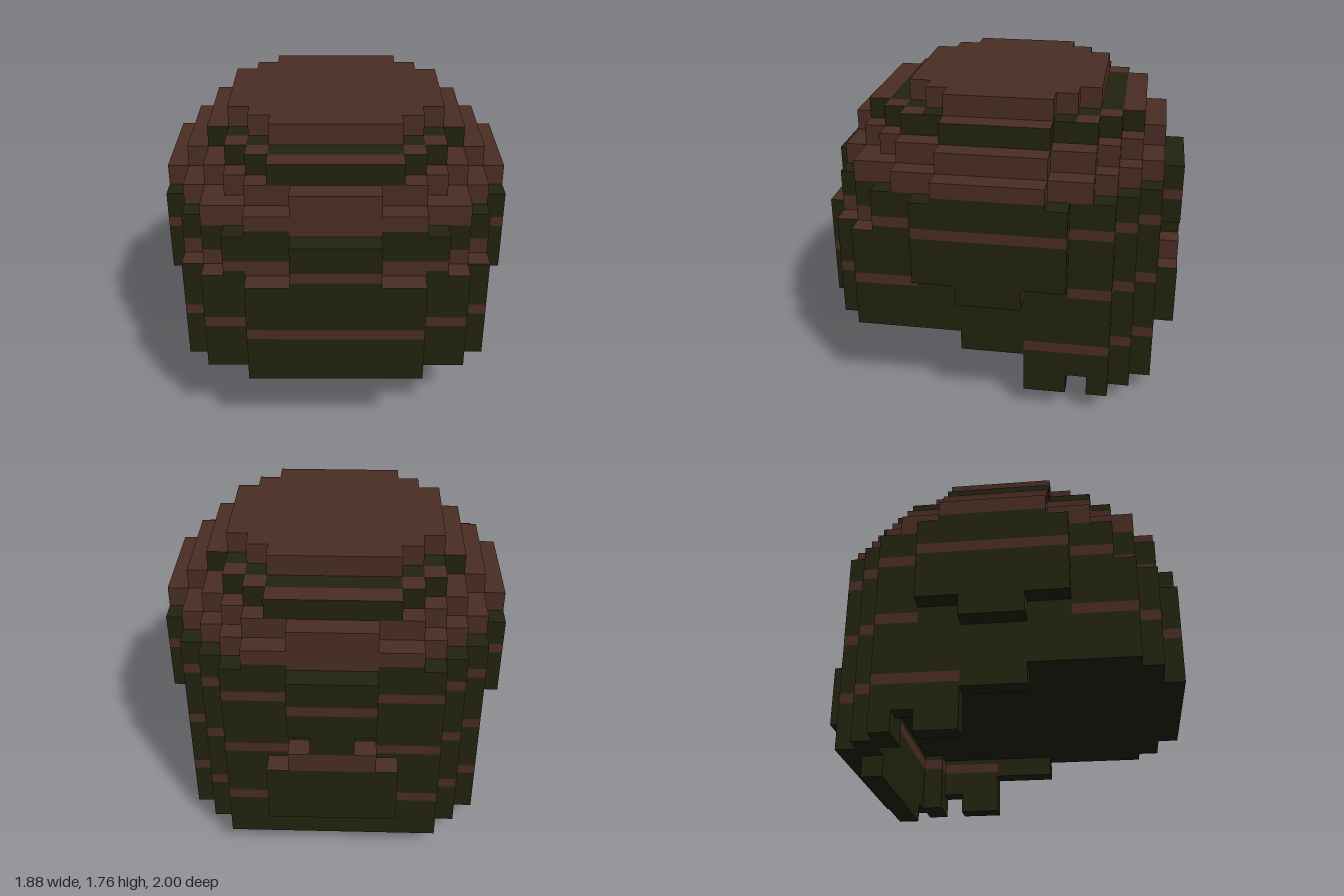
import * as THREE from 'three';

const U = 2 / 17; // edge of one block
const OLIVE = 0, BROWN = 1;

// Half-widths in blocks, listed from the middle row (z = 0) outwards
const crownRows = {
  14: [5, 5, 5, 4, 3],
  13: [6, 6, 6, 5, 5, 4, 3],
  12: [7, 7, 7, 6, 6, 5, 4, 2],
  11: [8, 8, 8, 7, 7, 6, 6, 4],
};
const upperRows = [8, 8, 8, 8, 7, 7, 6, 5, 2];
const frontRows = [7, 7, 7, 7, 7, 7, 7, 6, 4];
const backRows = [7, 7, 7, 7, 7, 7, 6, 5];
const backPatch = { 3: 3, 4: 3, 5: 3, 6: 2, 7: 1, 8: 2 };

function halfWidth(y, z) {
  const r = Math.abs(z);
  if (y > 10) {
    if (y === 11 && z === -6) return 5;
    return crownRows[y]?.[r] ?? 0;
  }
  if (y > 8) return upperRows[r] ?? 0;
  if (z === -8) return backPatch[y] ?? 0;
  if ((y >= 7 && r <= 3) || (y === 6 && r <= 1)) return 8;
  return (z > 0 ? frontRows[r] : backRows[r]) ?? 0;
}

// a is the distance from the centre line in whole blocks
function filled(i, y, z) {
  const a = i >= 0 ? i : -i - 1;
  if (y < 0 || y > 14 || Math.abs(z) > 8) return false;
  if (y === 0) return z === -6 && a < 4;
  if (y < 4) {
    if (z > 1 || (y < 3 && z > -2) || (y === 1 && z === -4)) return false;
    if (z === -8 && y < 3) return false;
    const inner = z <= -6 ? 0 : z === -5 ? 5 : 6; // open underneath
    return a >= inner && a < halfWidth(y, z);
  }
  return a < halfWidth(y, z);
}

// Colour of upward faces
function topColour(a, y, z) {
  const r = Math.abs(z);
  if (y === 13) return (r === 5 && a < 3) || (r === 4 && a === 3) || (r === 3 && a === 4) ? OLIVE : BROWN;
  if (y > 10 || y === 8) return BROWN;
  return z === -8 && (y === 5 || y === 6) ? BROWN : OLIVE;
}

// Horizontal colour bands [from, to, colour] of a side face
function sideBands(a, y, z, dx, ledge) {
  const r = Math.abs(z);
  const stripe = [[0, 0.25, OLIVE], [0.25, 0.75, BROWN], [0.75, 1, OLIVE]];
  if (y === 14 || y === 12) return [[0, 1, BROWN]];
  if (y === 11) {
    const lip = dx ? a === 7 : r === 7 && a >= 2;
    return lip ? [[0, 0.27, OLIVE], [0.27, 1, BROWN]] : [[0, 1, BROWN]];
  }
  if (y === 9) return ledge ? [[0, 0.75, BROWN], [0.75, 1, OLIVE]] : stripe;
  if (y === 6) {
    if (z === -8) return [[0, 1, BROWN]];
    if (!(dx && r <= 3)) return stripe;
  }
  if (y === 3 && z <= -2 && z !== -8 && (dx === 0 || a > 3)) return stripe;
  return [[0, 1, OLIVE]];
}

// Builds the outer faces of a range of layers
function blockLayers(name, from, to, materials) {
  const lists = [[], []];
  const quad = (colour, a, b, c, d) => {
    for (const p of [a, b, c, a, c, d]) lists[colour].push(p[0] * U, p[1] * U, p[2] * U);
  };
  for (let y = from; y <= to; y++)
    for (let z = -8; z <= 8; z++)
      for (let i = -8; i < 8; i++) {
        if (!filled(i, y, z)) continue;
        const a = i >= 0 ? i : -i - 1;
        const x0 = i, x1 = i + 1, z0 = z - 0.5, z1 = z + 0.5;
        if (!filled(i, y + 1, z))
          quad(topColour(a, y, z), [x0, y + 1, z1], [x1, y + 1, z1], [x1, y + 1, z0], [x0, y + 1, z0]);
        if (!filled(i, y - 1, z))
          quad(OLIVE, [x0, y, z0], [x1, y, z0], [x1, y, z1], [x0, y, z1]);
        for (const [dx, dz] of [[1, 0], [-1, 0], [0, 1], [0, -1]]) {
          if (filled(i + dx, y, z + dz)) continue;
          const ledge = filled(i + dx, y - 1, z + dz);
          // bottom edge runs left to right as seen from outside
          const cx = i + 0.5 + dx / 2, cz = z + dz / 2;
          const p = [cx - dz / 2, cz + dx / 2], q = [cx + dz / 2, cz - dx / 2];
          for (const [lo, hi, colour] of sideBands(a, y, z, dx, ledge))
            quad(colour, [p[0], y + lo, p[1]], [q[0], y + lo, q[1]], [q[0], y + hi, q[1]], [p[0], y + hi, p[1]]);
        }
      }
  const geometry = new THREE.BufferGeometry();
  geometry.setAttribute('position', new THREE.Float32BufferAttribute(lists[0].concat(lists[1]), 3));
  geometry.addGroup(0, lists[0].length / 3, 0);
  geometry.addGroup(lists[0].length / 3, lists[1].length / 3, 1);
  geometry.computeVertexNormals();
  const mesh = new THREE.Mesh(geometry, materials);
  mesh.name = name;
  return mesh;
}

export function createModel() {
  const olive = new THREE.MeshStandardMaterial({ color: 0x23230f });
  olive.name = 'darkOlive';
  const brown = new THREE.MeshStandardMaterial({ color: 0x4a2d24 });
  brown.name = 'darkBrown';
  const materials = [olive, brown];

  const group = new THREE.Group();
  group.name = 'blockHair';
  group.add(
    blockLayers('crown', 11, 14, materials),
    blockLayers('upperBand', 9, 10, materials),
    blockLayers('middleBand', 4, 8, materials),
    blockLayers('sideburnsAndNape', 1, 3, materials),
    blockLayers('napeTip', 0, 0, materials),
  );
  return group;
}
